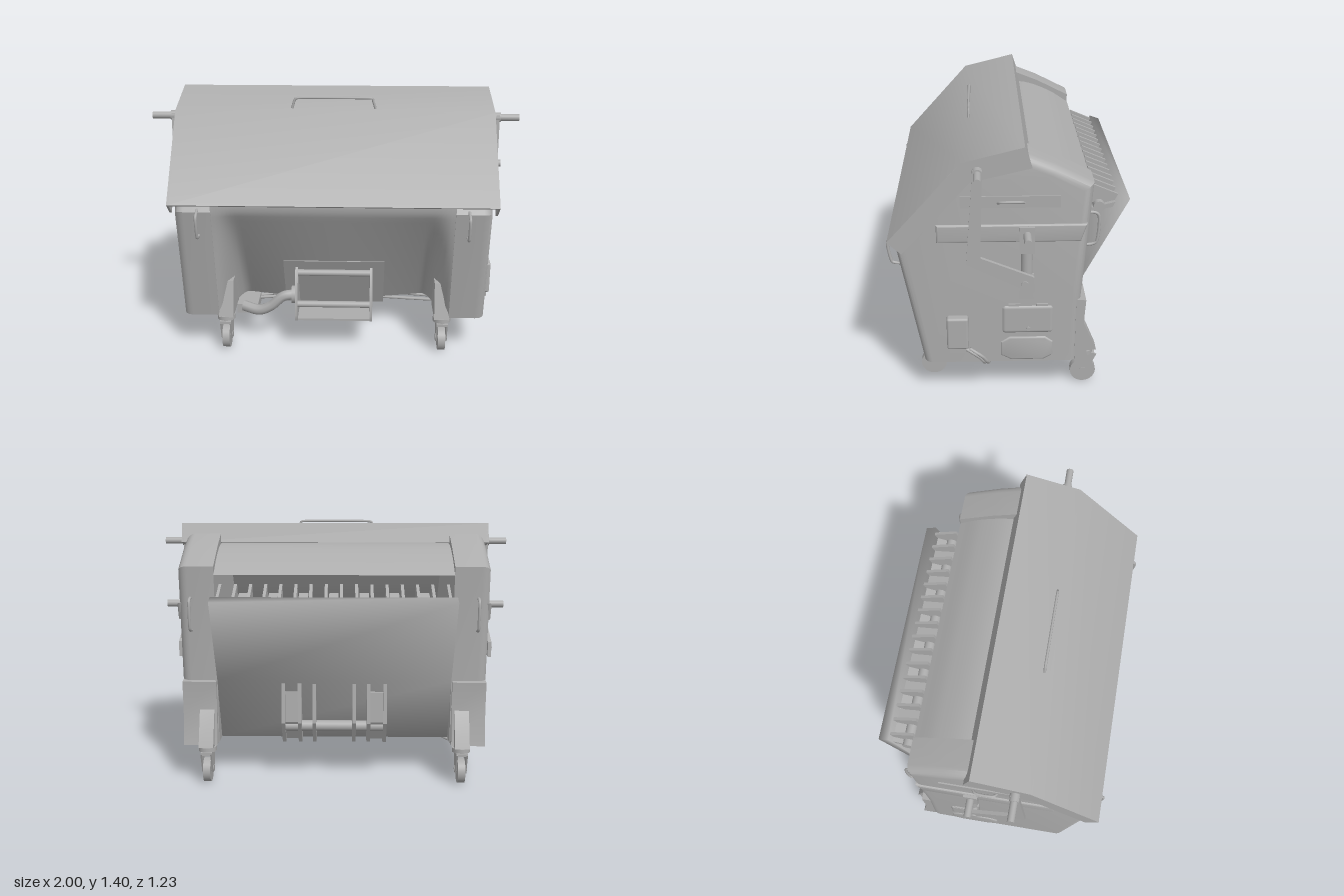
import * as THREE from 'three';
import { toCreasedNormals } from 'three/addons/utils/BufferGeometryUtils.js';
import { RoundedBoxGeometry } from 'three/addons/geometries/RoundedBoxGeometry.js';

export function createModel() {
  const root = new THREE.Group();
  root.name = 'wasteContainer';
  const steel = new THREE.MeshStandardMaterial({ color: 0xacacac, side: THREE.DoubleSide });
  steel.name = 'grey steel';

  const add = (name, geo, x = 0, y = 0, z = 0) => {
    const m = new THREE.Mesh(geo, steel);
    m.name = name;
    m.position.set(x, y, z);
    root.add(m);
    return m;
  };
  const box = (name, w, h, d, x, y, z) => add(name, new THREE.BoxGeometry(w, h, d), x, y, z);
  // Profile of [z, y] points extruded from x0 to x1; edges below the crease angle are smooth
  const prof = (name, pts, x0, x1, { bevel = 0, crease = 0.6, clamp } = {}) => {
    const width = Math.abs(x1 - x0);
    const shape = new THREE.Shape(pts.map(p => new THREE.Vector2(p[0], p[1])));
    const g = new THREE.ExtrudeGeometry(shape, {
      depth: width - 2 * bevel, bevelEnabled: bevel > 0, bevelSize: bevel,
      bevelThickness: bevel, bevelOffset: -bevel, bevelSegments: 5 });
    g.translate(0, 0, bevel - width / 2).rotateY(-Math.PI / 2).translate((x0 + x1) / 2, 0, 0);
    if (clamp) {
      const p = g.attributes.position;
      for (let i = 0; i < p.count; i++) p.setXYZ(i, ...clamp(p.getX(i), p.getY(i), p.getZ(i)));
    }
    return add(name, toCreasedNormals(g, crease));
  };
  // Round bar along x
  const bar = (name, r, x0, x1, y, z) =>
    add(name, new THREE.CylinderGeometry(r, r, Math.abs(x1 - x0), 20).rotateZ(Math.PI / 2), (x0 + x1) / 2, y, z);
  const tube = (name, pts, r, tension = 0.5) => add(name, new THREE.TubeGeometry(
    new THREE.CatmullRomCurve3(pts.map(p => new THREE.Vector3(...p)), false, 'catmullrom', tension), pts.length * 8, r, 8));
  // Grid surface following a rule of u, v in 0..1
  const sheet = (name, nu, nv, rule) => {
    const g = new THREE.PlaneGeometry(1, 1, nu, nv);
    const p = g.attributes.position;
    for (let i = 0; i < p.count; i++) p.setXYZ(i, ...rule(p.getX(i) + 0.5, p.getY(i) + 0.5));
    g.computeVertexNormals();
    return add(name, g);
  };

  // Pressed front wall: bulges in the middle, falls back into the lower corners
  const wallZ = (x, y) => {
    const t = Math.max(0, (0.87 - y) / 0.66);
    const edge = THREE.MathUtils.smoothstep(0.642 - Math.abs(x), 0, 0.13);
    const middle = 1 - 0.23 * Math.cos(Math.min(1, Math.abs(x) / 0.5) * Math.PI / 2);
    return 0.56 - 0.12 * t - 0.31 * t * edge * middle;
  };
  const across = u => (u - 0.5) * 1.284;
  sheet('frontWall', 60, 20, (u, v) => {
    const x = across(u), y = 0.21 + 0.7 * v;
    return [x, y, wallZ(x, y)];
  });
  sheet('floor', 60, 4, (u, v) => {
    const x = across(u);
    return [x, 0.21, THREE.MathUtils.lerp(wallZ(x, 0.21), -0.24, v)];
  });

  // Curved inner roof between the columns
  const roof = new THREE.CatmullRomCurve3([[0.5, 0.88], [0.2, 1.24], [-0.1, 1.29], [-0.28, 1.235], [-0.41, 1.155]]
    .map(p => new THREE.Vector3(0, p[1], p[0])));
  sheet('innerRoof', 1, 24, (u, v) => {
    const p = roof.getPoint(1 - v);
    return [across(u), p.y, p.z];
  });

  // Sloping rear hopper plate
  prof('rearHopperPlate', [[-0.615, 1.04], [-0.56, 1.06], [-0.34, 0.6], [-0.22, 0.21], [-0.25, 0.21], [-0.375, 0.57]],
    -0.64, 0.64, { crease: 1.8 });

  // Toothed bar along the rear opening
  bar('combBar', 0.03, -0.645, 0.645, 1.0, -0.46);
  prof('combTray', [[-0.57, 1.03], [-0.41, 0.99], [-0.41, 0.97], [-0.55, 1.0]], -0.635, 0.635);
  const tooth = [[-0.43, 1.11], [-0.56, 1.055], [-0.53, 0.98], [-0.4, 1.02]];
  for (let i = -3; i <= 3; i++) {
    const x = i * 0.16;
    prof('combTooth', [[-0.41, 1.06], [-0.54, 1.035], [-0.52, 0.97], [-0.41, 0.98]], x - 0.025, x + 0.025);
    for (const s of [-1, 1]) prof('combPlate', tooth, x + s * 0.04 - 0.008, x + s * 0.04 + 0.008);
  }

  // Hinged lid: bent sheet and rear lip
  prof('lidSheet', [[0.6, 0.92], [0.23, 1.33], [-0.07, 1.405], [-0.073, 1.393], [0.224, 1.319], [0.59, 0.912]],
    -0.86, 0.86, { crease: 0.8 });
  prof('lidRearLip', [[-0.07, 1.405], [-0.105, 1.3], [-0.093, 1.297], [-0.058, 1.4]], -0.86, 0.86);
  tube('lidHandle', [[-0.23, 1.34, 0.2], [-0.215, 1.385, 0.2], [-0.18, 1.397, 0.2], [0.18, 1.397, 0.2], [0.205, 1.385, 0.2], [0.22, 1.34, 0.2]], 0.007, 0.3);

  const caster = (x, z) => {
    add('casterMount', new THREE.CylinderGeometry(0.05, 0.05, 0.025, 20), x, 0.19, z);
    add('casterWheel', new THREE.CylinderGeometry(0.068, 0.068, 0.04, 28).rotateZ(Math.PI / 2), x, 0.068, z);
    bar('casterAxle', 0.018, x - 0.034, x + 0.034, 0.075, z);
    for (const s of [-1, 1]) {
      prof('casterFork', [[z - 0.07, 0.175], [z + 0.06, 0.175], [z + 0.045, 0.13], [z + 0.02, 0.055], [z - 0.02, 0.055], [z - 0.05, 0.13]],
        x + s * 0.023, x + s * 0.031);
    }
    box('casterForkTop', 0.062, 0.015, 0.12, x, 0.172, z);
  };

  for (const s of [-1, 1]) {
    // End columns, rounded outside, flat on the inner face and the underside
    prof('endColumn', [[0.441, 0.16], [0.565, 0.87], [0.21, 1.27], [-0.08, 1.35], [-0.22, 1.295], [-0.41, 1.2], [-0.365, 0.57], [-0.36, 0.16]],
      s * 0.59, s * 0.835, { bevel: 0.05, clamp: (x, y, z) => [s * Math.max(0.64, s * x), Math.max(0.21, y), z] });
    prof('rearCornerPlate', [[-0.34, 0.57], [-0.39, 0.565], [-0.38, 0.4], [-0.41, 0.21], [-0.34, 0.21]], s * 0.645, s * 0.83);
    prof('rearCasterGusset', [[-0.36, 0.42], [-0.385, 0.4], [-0.465, 0.21], [-0.36, 0.2]], s * 0.66, s * 0.74);
    prof('frontCasterBracket', [[0.25, 0.4], [0.4, 0.4], [0.45, 0.2], [0.25, 0.2]], s * 0.56, s * 0.642);
    caster(s * 0.605, 0.405);
    caster(s * 0.7, -0.4);
    prof('lidSkirt', [[0.6, 0.92], [0.23, 1.33], [-0.07, 1.405], [-0.105, 1.3], [0.19, 1.23], [0.53, 0.855]], s * 0.848, s * 0.86);
    prof('combEndPlate', tooth, s * 0.595, s * 0.61);

    // Side rails
    prof('upperRail', [[0.24, 1.09], [0.24, 1.15], [-0.245, 1.15], [-0.245, 1.09]], s * 0.82, s * 0.842);
    prof('lowerRail', [[0.36, 0.905], [0.36, 1.0], [-0.38, 1.0], [-0.35, 0.905]], s * 0.81, s * 0.845, { bevel: 0.012 });
    tube('sideHandle', [[s * 0.838, 1.115, 0.06], [s * 0.858, 1.125, 0.035], [s * 0.858, 1.125, -0.045], [s * 0.838, 1.115, -0.07]], 0.007);

    // Lid lever with its pins
    prof('leverArm', [[0.178, 1.3], [0.132, 1.3], [0.145, 0.845], [-0.12, 0.735], [-0.125, 0.65], [-0.09, 0.655], [0.215, 0.81]].reverse(),
      s * 0.873, s * 0.893);
    bar('liftPin', 0.019, s * 0.84, s, 1.285, 0.155);
    bar('liftPinCollar', 0.026, s * 0.86, s * 0.9, 1.285, 0.155);
    bar('leverPin', 0.02, s * 0.83, s * 0.9, 0.695, -0.075);
    bar('strutPin', 0.02, s * 0.83, s * 0.955, 0.95, -0.085);
    box('strutBracket', 0.04, 0.14, 0.075, s * 0.84, 0.92, -0.085);
    add('strutCylinder', new THREE.CylinderGeometry(0.03, 0.03, 0.16, 20), s * 0.83, 0.79, -0.085);
    box('strutFoot', 0.03, 0.14, 0.07, s * 0.835, 0.66, -0.085);

    // Equipment boxes
    add('controlBox', new RoundedBoxGeometry(0.045, 0.165, 0.265, 4, 0.02), s * 0.82, 0.463, -0.093);
    for (const z of [-0.165, -0.025]) box('boxHinge', 0.02, 0.012, 0.06, s * 0.833, 0.55, z);
    bar('boxLock', 0.012, s * 0.835, s * 0.848, 0.41, -0.097);
    prof('lowerCover', [[0.045, 0.25], [0.045, 0.33], [0.0, 0.36], [-0.185, 0.36], [-0.225, 0.33], [-0.225, 0.25], [-0.175, 0.22], [-0.01, 0.22]],
      s * 0.8, s * 0.842, { bevel: 0.012 });

    // Grab handles
    tube('frontGrabHandle', [[s * 0.71, 0.88, 0.55], [s * 0.71, 0.865, 0.6], [s * 0.71, 0.835, 0.612], [s * 0.71, 0.76, 0.6], [s * 0.71, 0.735, 0.585], [s * 0.71, 0.73, 0.53]], 0.008);
    tube('rearGrabHandle', [[s * 0.77, 1.03, -0.38], [s * 0.77, 1.025, -0.43], [s * 0.77, 0.99, -0.445], [s * 0.77, 0.89, -0.44], [s * 0.77, 0.86, -0.425], [s * 0.77, 0.85, -0.37]], 0.008);

    // Front pocket cheeks and rear chevron brackets
    prof('pocketCheek', [[0.25, 0.48], [0.35, 0.49], [0.39, 0.45], [0.46, 0.22], [0.45, 0.185], [0.18, 0.185]], s * 0.2, s * 0.215);
    for (const x of [0.1, 0.18, 0.27]) {
      prof('rearChevron', [[-0.33, 0.56], [-0.37, 0.55], [-0.39, 0.33], [-0.31, 0.2], [-0.22, 0.21], [-0.28, 0.35]], s * x, s * (x + 0.02));
    }
    prof('rearChevronWeb', [[-0.32, 0.52], [-0.355, 0.5], [-0.365, 0.33], [-0.295, 0.215], [-0.22, 0.215]], s * 0.2, s * 0.27);
  }
  bar('rearLiftTube', 0.03, -0.27, 0.27, 0.3, -0.33);

  // Front pocket
  prof('pocketBackPlate', [[0.378, 0.52], [0.387, 0.52], [0.23, 0.2], [0.221, 0.2]], -0.28, 0.28);
  bar('pocketUpperBar', 0.018, -0.2, 0.2, 0.445, 0.372);
  bar('pocketLowerBar', 0.018, -0.2, 0.2, 0.28, 0.43);
  box('pocketFloor', 0.4, 0.012, 0.25, 0, 0.191, 0.32);

  // Drain pipe beside the pocket
  tube('drainPipe', [[-0.22, 0.29, 0.33], [-0.29, 0.28, 0.34], [-0.36, 0.22, 0.34], [-0.43, 0.19, 0.33], [-0.52, 0.2, 0.3]], 0.03);
  bar('drainFlange', 0.05, -0.24, -0.2, 0.29, 0.33);
  box('hoseManifold', 0.12, 0.055, 0.18, -0.5, 0.175, 0.2);

  // Fitting on the left end
  add('pumpBox', new RoundedBoxGeometry(0.05, 0.18, 0.11, 3, 0.012), 0.85, 0.4, 0.265);
  box('pumpOutlet', 0.04, 0.06, 0.08, 0.84, 0.31, 0.265);

  // Hoses under the floor
  for (const k of [0, 1]) {
    tube('floorHose', [[0.845, 0.295, 0.225 - k * 0.02], [0.85, 0.25, 0.16 - k * 0.02], [0.8, 0.185, 0.125 - k * 0.02],
      [0.6, 0.175, 0.14 - k * 0.05], [0, 0.19, 0.12 - k * 0.08], [-0.45, 0.18, 0.15 - k * 0.03]], 0.009);
    tube('endHose', [[-0.5, 0.18, 0.14], [-0.64, 0.12 + k * 0.03, 0.05], [-0.74, 0.11 + k * 0.04, -0.05],
      [-0.79, 0.15, -0.12], [-0.8, 0.22, -0.12 + k * 0.03]], 0.01);
  }

  return root;
}
